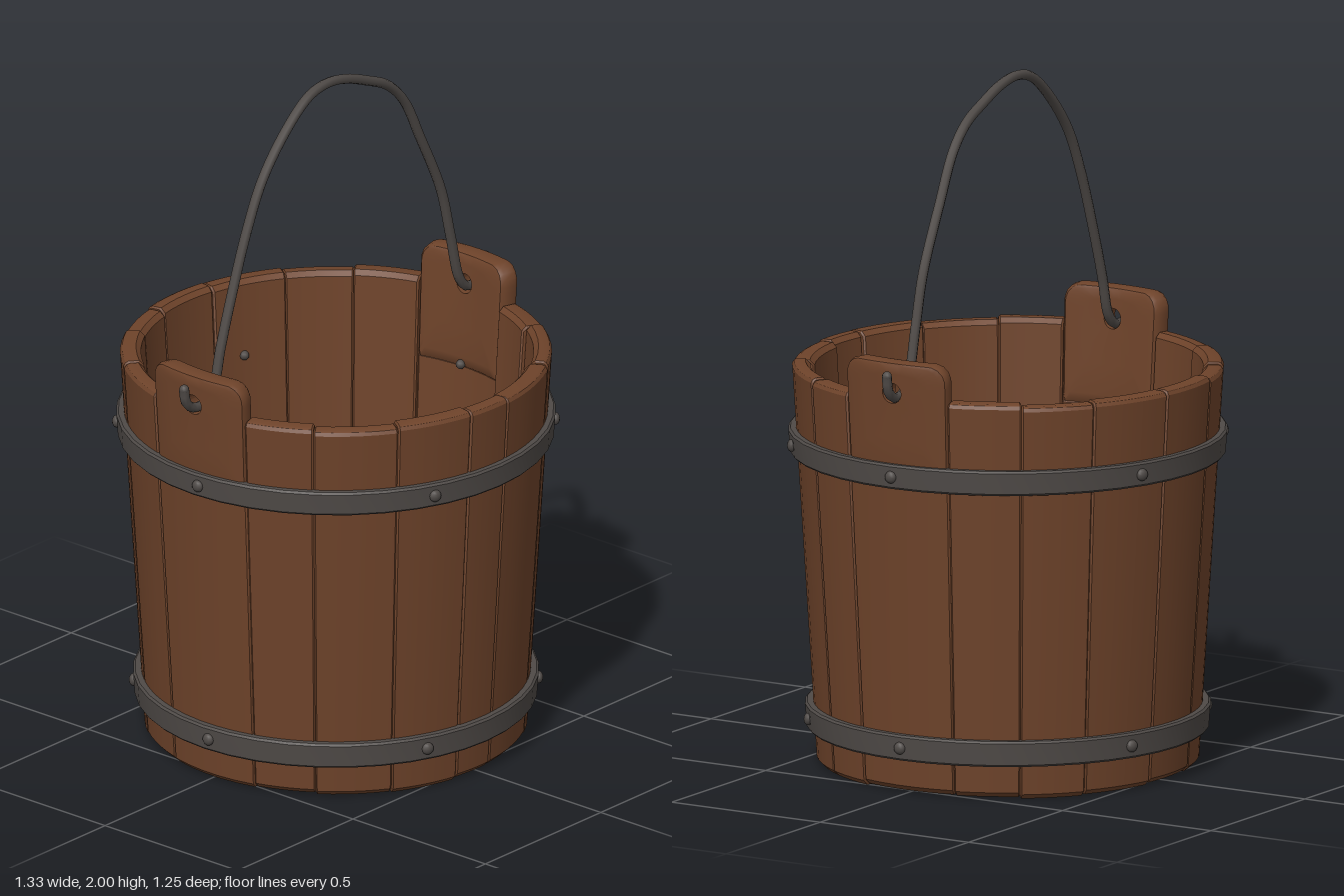
import * as THREE from 'three';
import { toCreasedNormals } from 'three/addons/utils/BufferGeometryUtils.js';

const wood = new THREE.MeshStandardMaterial({ color: 0x6e432a });
wood.name = 'brown wood';
const iron = new THREE.MeshStandardMaterial({ color: 0x4f4a47 });
iron.name = 'dark iron';

const WALL = 0.058, ARC = 0.6; // wall thickness, radius used for arc lengths
const rad = THREE.MathUtils.degToRad;
const outerRadius = (y) => 0.545 + 0.06 * y;

function add(parent, name, geometry, material) {
  const mesh = new THREE.Mesh(geometry, material);
  mesh.name = name;
  parent.add(mesh);
  return mesh;
}

// Move every vertex by a rule
function warp(geometry, rule) {
  const p = geometry.attributes.position;
  for (let i = 0; i < p.count; i++) p.setXYZ(i, ...rule(p.getX(i), p.getY(i), p.getZ(i)));
  return geometry;
}

const onCircle = (a, r, y) => [Math.sin(a) * r, y, Math.cos(a) * r];

// One wall board: a chamfered radial profile, extruded and bent around the axis
function staveGeometry(a0, a1, bottom, top, thickness) {
  const c = 0.014, b = 0.005;
  const o = outerRadius, inn = (y) => outerRadius(y) - thickness;
  const shape = new THREE.Shape([
    [inn(bottom) + c, bottom], [o(bottom) - c, bottom], [o(bottom), bottom + c],
    [o(top), top - c], [o(top) - c * 0.4, top - c * 0.3], [o(top) - c, top],
    [inn(top) + c, top], [inn(top), top - c], [inn(bottom), bottom + c],
  ].map(([x, y]) => new THREE.Vector2(x, y)));
  const geometry = new THREE.ExtrudeGeometry(shape, {
    depth: (a1 - a0) * ARC - 2 * b, steps: 5,
    bevelThickness: b, bevelSize: b, bevelOffset: -b, bevelSegments: 1,
  });
  warp(geometry, (r, y, d) => onCircle(a1 - (d + b) / ARC, r, y));
  return toCreasedNormals(geometry, 0.5);
}

// Raised board end with a round hole, built as a ring of sections around the hole
function earGeometry(centre) {
  const w = 0.168, low = 0.92, top = 1.27, k = 0.05, holeY = 1.18, holeR = 0.03;
  const outline = new THREE.Shape();
  outline.moveTo(-w, low);
  outline.lineTo(w, low);
  outline.absarc(w - k, top - k, k, 0, Math.PI / 2, false);
  outline.absarc(-w + k, top - k, k, Math.PI / 2, Math.PI, false);
  outline.lineTo(-w, low);
  const rim = outline.getSpacedPoints(64).slice(0, -1);
  const section = [
    [0, 0], [0.45, 0], [0.84, 0], [0.95, 0.004], [1, 0.015],
    [1, WALL - 0.01], [0.95, WALL + 0.002], [0.84, WALL + 0.006], [0.45, WALL + 0.006], [0, WALL + 0.006],
  ];
  const n = rim.length, m = section.length, positions = [], index = [];
  rim.forEach((p, i) => {
    const t = Math.atan2(p.y - holeY, p.x);
    section.forEach(([s, d], j) => {
      const u = THREE.MathUtils.lerp(Math.cos(t) * holeR, p.x, s);
      const y = THREE.MathUtils.lerp(holeY + Math.sin(t) * holeR, p.y, s);
      positions.push(...onCircle(centre + u / ARC, outerRadius(y) + 0.004 - d, y));
      const i2 = (i + 1) % n, j2 = (j + 1) % m;
      const a = i * m + j, b = i * m + j2, c = i2 * m + j2, e = i2 * m + j;
      index.push(a, b, c, a, c, e);
    });
  });
  const geometry = new THREE.BufferGeometry();
  geometry.setAttribute('position', new THREE.Float32BufferAttribute(positions, 3));
  geometry.setIndex(index);
  return toCreasedNormals(geometry, 0.7);
}

// Floor board between two x positions, trimmed to the round
function plankGeometry(x0, x1) {
  const R = 0.505, steps = 10, edge = [], b = 0.004;
  for (let i = 0; i <= steps; i++) {
    const x = THREE.MathUtils.lerp(x0, x1, i / steps);
    edge.push(new THREE.Vector2(x, -Math.sqrt(R * R - x * x)));
  }
  const back = edge.map((p) => new THREE.Vector2(p.x, -p.y)).reverse();
  const geometry = new THREE.ExtrudeGeometry(new THREE.Shape([...edge, ...back]), {
    depth: 0.042, bevelThickness: b, bevelSize: b, bevelOffset: -b, bevelSegments: 1,
  });
  return geometry.rotateX(-Math.PI / 2).translate(0, 0.064, 0);
}

// Flat iron band following the taper of the wall
function hoopGeometry(y0, y1) {
  const t = 0.023, c = 0.006;
  const profile = [
    [outerRadius(y0) - 0.004, y0], [outerRadius(y0) + t - c, y0], [outerRadius(y0) + t, y0 + c],
    [outerRadius(y1) + t, y1 - c], [outerRadius(y1) + t - c, y1], [outerRadius(y1) - 0.004, y1],
    [outerRadius(y0) - 0.004, y0],
  ].map(([x, y]) => new THREE.Vector2(x, y));
  return toCreasedNormals(new THREE.LatheGeometry(profile, 40), 0.6);
}

export function createModel() {
  const model = new THREE.Group();
  model.name = 'bucket';

  // Wall boards of uneven width; the two at the sides carry the ears
  const staves = new THREE.Group();
  staves.name = 'staves';
  model.add(staves);
  const seams = [-106, -74, -55, -32, -10, 4, 30, 57, 74, 106, 126, 146, 170, 192, 209, 232, 254];
  for (let i = 0; i < seams.length - 1; i++) {
    const side = seams[i + 1] - seams[i] === 32;
    const top = side ? 0.94 : 1.16 + 0.004 * Math.sin(i * 2.3);
    const bottom = 0.004 + 0.004 * Math.sin(i * 1.7);
    const thickness = WALL + 0.006 * Math.sin(i * 2.9);
    add(staves, 'stave', staveGeometry(rad(seams[i]), rad(seams[i + 1]), bottom, top, thickness), wood);
  }
  add(model, 'leftEar', earGeometry(Math.PI / 2), wood);
  add(model, 'rightEar', earGeometry(-Math.PI / 2), wood);

  // Floor boards and the thin ring around them
  const floor = new THREE.Group();
  floor.name = 'floor';
  model.add(floor);
  const cuts = [-0.5, -0.31, -0.1, 0.11, 0.31, 0.5];
  for (let i = 0; i < cuts.length - 1; i++) add(floor, 'floorPlank', plankGeometry(cuts[i], cuts[i + 1]), wood);
  const ring = add(model, 'floorRing', new THREE.TorusGeometry(0.49, 0.007, 6, 48), iron);
  ring.rotation.x = Math.PI / 2;
  ring.position.y = 0.115;

  // Hoops with rivets passing through the wall
  for (const [name, y0, y1] of [['upperHoop', 0.9, 0.972], ['lowerHoop', 0.1, 0.175]]) {
    const hoop = new THREE.Group();
    hoop.name = name;
    model.add(hoop);
    add(hoop, 'band', hoopGeometry(y0, y1), iron);
    const y = (y0 + y1) / 2;
    for (const angle of [-22, 42, 90, 160, 222, 272]) {
      const rivet = new THREE.Group();
      rivet.name = 'rivet';
      rivet.rotation.y = rad(angle);
      hoop.add(rivet);
      const head = add(rivet, 'rivetHead', new THREE.SphereGeometry(0.018, 12, 8), iron);
      head.scale.z = 0.7;
      head.position.set(0, y, outerRadius(y) + 0.024);
      const tail = add(rivet, 'rivetTail', new THREE.SphereGeometry(0.014, 10, 6), iron);
      tail.position.set(0, y, outerRadius(y) - WALL - 0.004);
    }
  }

  // Bent wire handle, hooked outward through both ears
  const path = [
    [-0.652, 1.235], [-0.645, 1.195], [-0.615, 1.168], [-0.56, 1.166], [-0.525, 1.2], [-0.495, 1.31],
    [-0.45, 1.45], [-0.38, 1.64], [-0.31, 1.78], [-0.2, 1.905], [-0.11, 1.97], [-0.03, 1.985],
    [0.05, 1.972], [0.14, 1.938], [0.23, 1.895], [0.3, 1.825], [0.37, 1.69], [0.46, 1.5],
    [0.5, 1.35], [0.54, 1.2], [0.57, 1.168], [0.615, 1.166], [0.645, 1.19], [0.652, 1.235],
  ].map(([x, y]) => new THREE.Vector3(x, y, -0.005));
  const handle = new THREE.Group();
  handle.name = 'handle';
  model.add(handle);
  add(handle, 'wire', new THREE.TubeGeometry(new THREE.CatmullRomCurve3(path), 110, 0.0145, 8), iron);
  for (const end of [path[0], path[path.length - 1]]) {
    add(handle, 'wireEnd', new THREE.SphereGeometry(0.0145, 10, 8), iron).position.copy(end);
  }
  return model;
}
